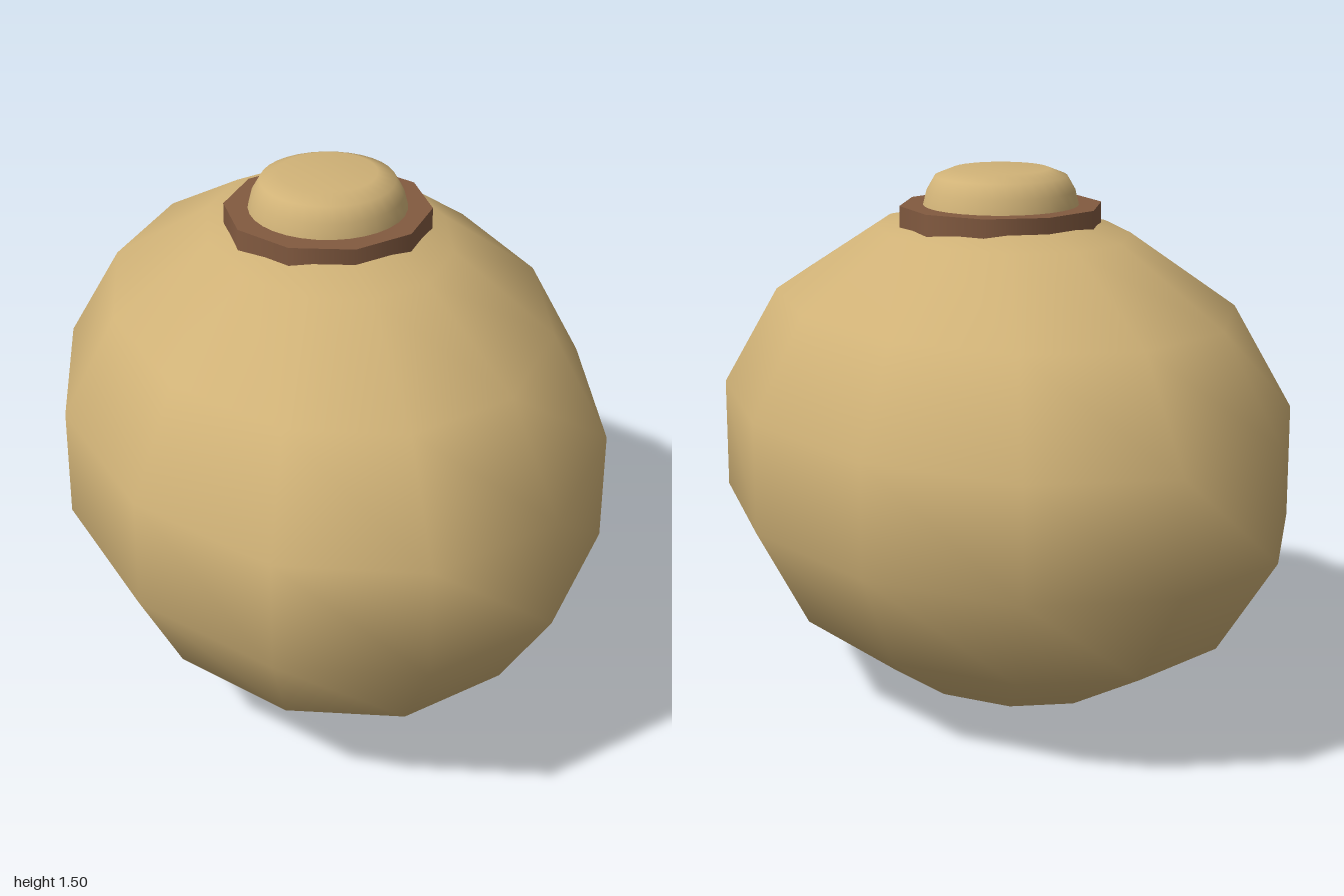
import * as THREE from 'three';

export function createModel() {
  const model = new THREE.Group();
  const tan = new THREE.MeshStandardMaterial({ color: 0xd0b277 });
  tan.name = 'tan';
  const brown = new THREE.MeshStandardMaterial({ color: 0x825a40 });
  brown.name = 'brown';

  const add = (name, geometry, material, y) => {
    const mesh = new THREE.Mesh(geometry, material);
    mesh.name = name;
    mesh.position.y = y;
    model.add(mesh);
    return mesh;
  };

  // Egg-shaped body, stretched front to back
  const body = add('body', new THREE.SphereGeometry(1, 12, 7), tan, 0.7);
  body.scale.set(0.77, 0.7, 1.026);

  // Ten-sided collar sunk into the top of the body
  add('collar', new THREE.CylinderGeometry(0.285, 0.285, 0.1, 10), brown, 1.35);

  // Rounded stopper with a flat top
  const profile = [[0.218, 0], [0.208, 0.04], [0.185, 0.08], [0.135, 0.1], [0, 0.1]]
    .map(([r, y]) => new THREE.Vector2(r, y));
  add('stopper', new THREE.LatheGeometry(profile, 32), tan, 1.4);

  return model;
}
